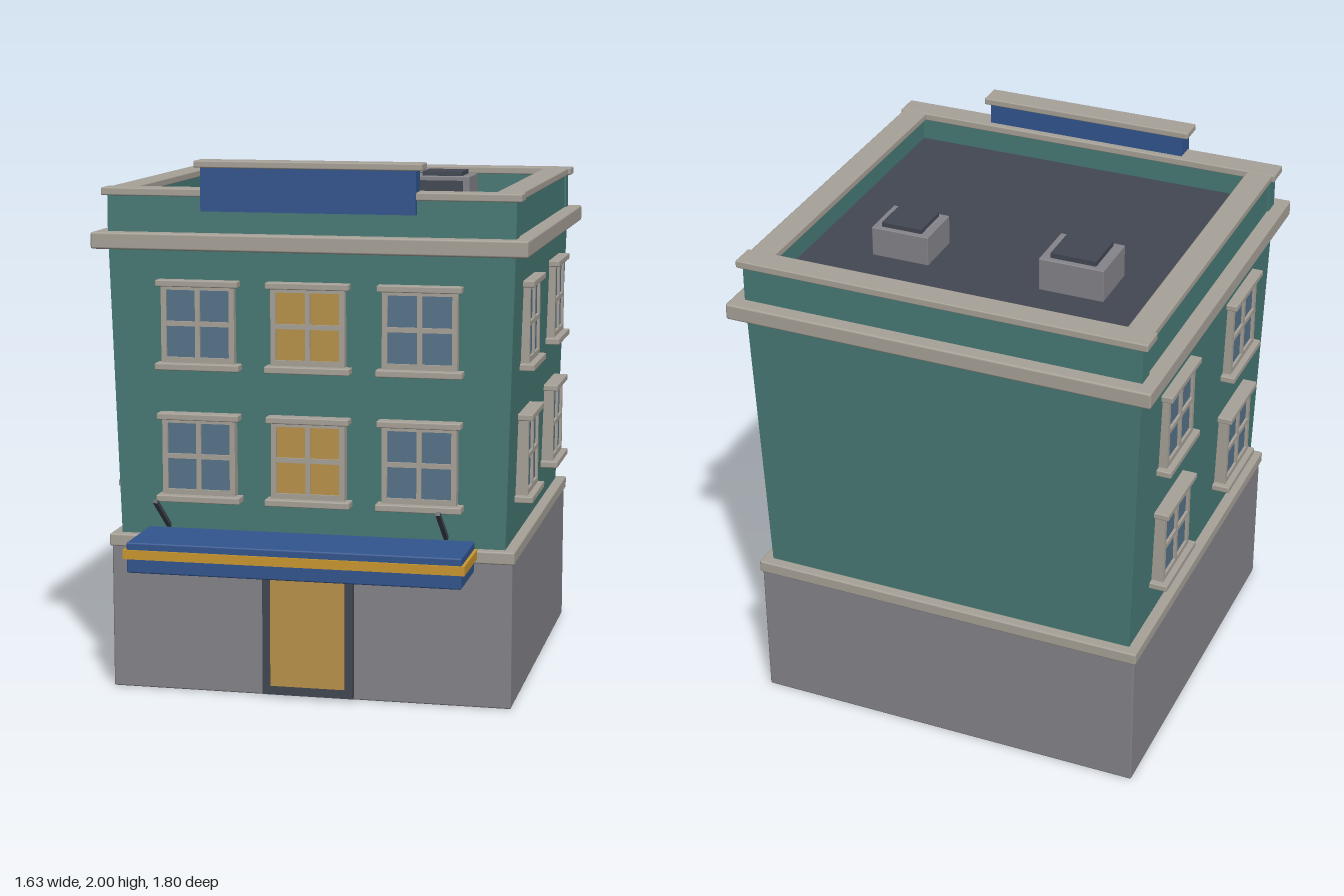
import * as THREE from 'three';
import { RoundedBoxGeometry } from 'three/addons/geometries/RoundedBoxGeometry.js';

const mat = (name, color) => {
  const m = new THREE.MeshStandardMaterial({ color });
  m.name = name;
  return m;
};

export function createModel() {
  const teal = mat('teal wall', 0x487a76);
  const stone = mat('stone trim', 0xa8a298);
  const grey = mat('grey base', 0x84848a);
  const dark = mat('dark slate', 0x424752);
  const blue = mat('blue', 0x32558f);
  const gold = mat('gold stripe', 0xcb972f);
  const glow = mat('warm light', 0xba9349);
  const glass = mat('window glass', 0x57748a);

  const model = new THREE.Group();
  model.name = 'building';
  const ZC = -0.118; // centre of the building body in z

  // Box given by its limits, with an optional small bevel
  function box(parent, name, material, [x0, x1], [y0, y1], [z0, z1], bevel = 0) {
    const w = x1 - x0, h = y1 - y0, d = z1 - z0;
    const geo = bevel
      ? new RoundedBoxGeometry(w, h, d, 1, bevel)
      : new THREE.BoxGeometry(w, h, d);
    const mesh = new THREE.Mesh(geo, material);
    mesh.name = name;
    mesh.position.set((x0 + x1) / 2, (y0 + y1) / 2, (z0 + z1) / 2);
    parent.add(mesh);
    return mesh;
  }
  const sym = (h) => [-h, h];
  const body = (h) => [ZC - h, ZC + h];

  // Ground floor and band above it
  box(model, 'groundFloor', grey, sym(0.762), [0, 0.55], body(0.734), 0.006);
  box(model, 'lowerBand', stone, sym(0.77), [0.545, 0.592], body(0.742), 0.006);

  // Upper floors, widening towards the top
  const walls = box(model, 'upperWalls', teal, sym(0.73), [0.58, 1.7], body(0.702));
  const p = walls.geometry.attributes.position;
  for (let i = 0; i < p.count; i++) {
    if (p.getY(i) > 0) p.setXYZ(i, p.getX(i) * 1.042, p.getY(i), p.getZ(i) * 1.035);
  }
  walls.geometry.computeVertexNormals();

  // Cornice and roof deck
  box(model, 'cornice', stone, sym(0.813), [1.672, 1.734], body(0.784), 0.008);
  box(model, 'roofDeck', dark, sym(0.72), [1.7, 1.78], body(0.69));

  // Parapet walls with coping stones
  for (const s of [-1, 1]) {
    const span = (a, b, c = 0) => (s > 0 ? [c + a, c + b] : [c - b, c - a]);
    box(model, 'parapetEnd', teal, sym(0.762), [1.72, 1.875], span(0.66, 0.727, ZC));
    box(model, 'parapetSide', teal, span(0.69, 0.756), [1.72, 1.875], body(0.66));
    box(model, 'copingEnd', stone, sym(0.783), [1.867, 1.896], span(0.643, 0.742, ZC), 0.005);
    box(model, 'copingSide', stone, span(0.673, 0.772), [1.867, 1.895], body(0.65), 0.005);
  }

  // Blank sign board on the front parapet
  box(model, 'signBoard', blue, sym(0.4), [1.815, 1.98], [0.551, 0.633]);
  box(model, 'signCap', stone, sym(0.424), [1.974, 2], [0.541, 0.639], 0.005);

  // Door
  box(model, 'doorFrame', dark, sym(0.172), [0.01, 0.53], [0.58, 0.646]);
  box(model, 'doorPanel', glow, sym(0.141), [0.045, 0.515], [0.643, 0.651]);

  // Canopy with stripe and slanted stays
  box(model, 'canopy', blue, sym(0.62), [0.51, 0.624], [0.6, 0.892], 0.006);
  box(model, 'canopyStripe', gold, sym(0.632), [0.563, 0.597], [0.61, 0.9]);
  for (const x of [-0.524, 0.524]) {
    const a = new THREE.Vector3(x, 0.645, 0.66), b = new THREE.Vector3(x, 0.77, 0.834);
    const stay = new THREE.Mesh(new THREE.BoxGeometry(0.016, 0.016, a.distanceTo(b)), dark);
    stay.name = 'canopyStay';
    stay.position.copy(a).lerp(b, 0.5);
    stay.lookAt(b);
    model.add(stay);
  }

  // Window frame: one plate with four pane openings
  const W = 0.139, H = 0.145, RIM = 0.02, BAR = 0.009;
  const rect = (Type, x0, y0, x1, y1) => {
    const r = new Type();
    r.moveTo(x0, y0).lineTo(x1, y0).lineTo(x1, y1).lineTo(x0, y1).closePath();
    return r;
  };
  const frameShape = rect(THREE.Shape, -W, -H, W, H);
  for (const [x0, x1] of [[-W + RIM, -BAR], [BAR, W - RIM]]) {
    for (const [y0, y1] of [[-H + RIM, -BAR], [BAR, H - RIM]]) {
      frameShape.holes.push(rect(THREE.Path, x0, y0, x1, y1));
    }
  }
  const frameGeo = new THREE.ExtrudeGeometry(frameShape, { depth: 0.05, bevelEnabled: false });
  frameGeo.translate(0, 0, -0.05);

  // Window with its local z = 0 on the outer face of the frame
  function addWindow(x, y, z, turn, pane) {
    const g = new THREE.Group();
    g.name = 'window';
    const frame = new THREE.Mesh(frameGeo, stone);
    frame.name = 'windowFrame';
    g.add(frame);
    box(g, 'windowPane', pane, sym(W - 0.01), sym(H - 0.01), [-0.018, -0.01]);
    box(g, 'windowSill', stone, sym(0.16), [-0.172, -0.147], [-0.055, 0.022], 0.004);
    box(g, 'windowLintel', stone, sym(0.156), [0.138, 0.162], [-0.055, 0.018], 0.004);
    g.position.set(x, y, z);
    g.rotation.y = turn;
    model.add(g);
  }
  for (const y of [0.902, 1.399]) {
    for (const x of [-0.416, 0, 0.416]) addWindow(x, y, 0.632, 0, x === 0 ? glow : glass);
    for (const s of [-1, 1]) {
      for (const dz of [-0.354, 0.354]) addWindow(s * 0.781, y, ZC + dz, s * Math.PI / 2, glass);
    }
  }

  // Rooftop ventilation units
  for (const [x, k] of [[-0.339, 1.04], [0.337, 0.94]]) {
    const g = new THREE.Group();
    g.name = 'roofUnit';
    box(g, 'unitBody', grey, sym(0.12), [0, 0.122], sym(0.103), 0.004);
    box(g, 'unitLid', dark, sym(0.084), [0.12, 0.14], sym(0.082));
    box(g, 'unitGrille', dark, sym(0.092), [0.02, 0.104], [0.1, 0.108]);
    g.position.set(x, 1.778, -0.338);
    g.scale.setScalar(k);
    model.add(g);
  }

  return model;
}
